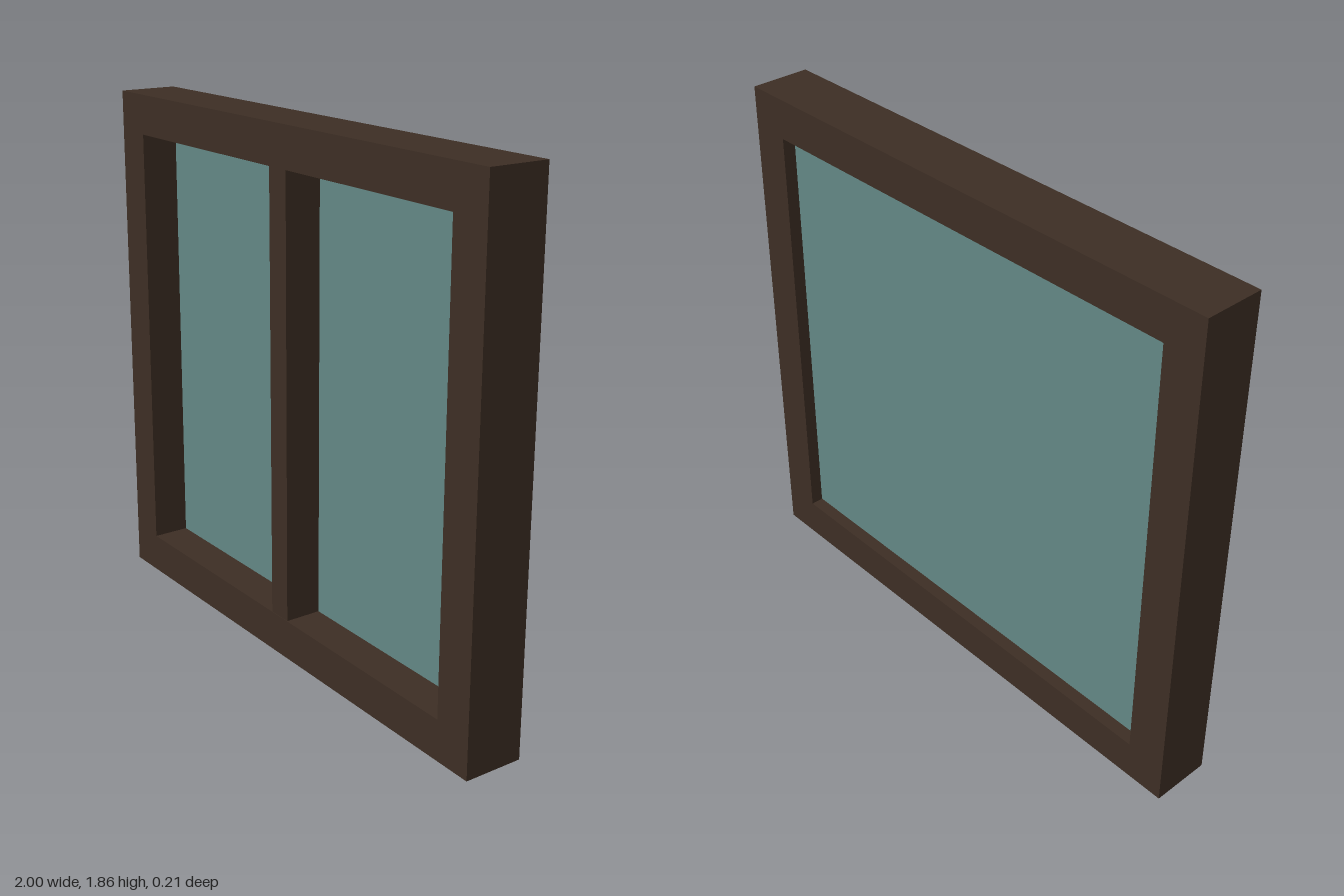
import * as THREE from 'three';

const W = 2, H = 1.857, D = 0.214, BORDER = 0.143;

export function createModel() {
  const wood = new THREE.MeshStandardMaterial({ color: 0x3d2e24 });
  wood.name = 'darkWood';
  const glass = new THREE.MeshStandardMaterial({ color: 0x638785 });
  glass.name = 'tealGlass';

  const model = new THREE.Group();
  model.name = 'window';

  const add = (name, geometry, material, x, y, z) => {
    const mesh = new THREE.Mesh(geometry, material);
    mesh.name = name;
    mesh.position.set(x, y, z);
    model.add(mesh);
  };

  // Outer frame: one rectangle with a rectangular opening
  const rect = (target, x, y) => target
    .moveTo(-x, -y).lineTo(x, -y).lineTo(x, y).lineTo(-x, y).closePath();
  const outline = rect(new THREE.Shape(), W / 2, H / 2);
  outline.holes.push(rect(new THREE.Path(), W / 2 - BORDER, H / 2 - BORDER));
  const frame = new THREE.ExtrudeGeometry(outline, { depth: D, bevelEnabled: false });
  add('frame', frame, wood, 0, H / 2, -D / 2);

  // Pane set towards the back of the opening
  const openW = W - 2 * BORDER, openH = H - 2 * BORDER;
  const paneFront = -0.028, paneBack = -0.06;
  add('pane', new THREE.BoxGeometry(openW, openH, paneFront - paneBack), glass,
    0, H / 2, (paneFront + paneBack) / 2);

  // Central upright in front of the pane
  const barFront = 0.105;
  add('centreBar', new THREE.BoxGeometry(0.093, openH, barFront - paneFront), wood,
    0, H / 2, (barFront + paneFront) / 2);

  return model;
}
